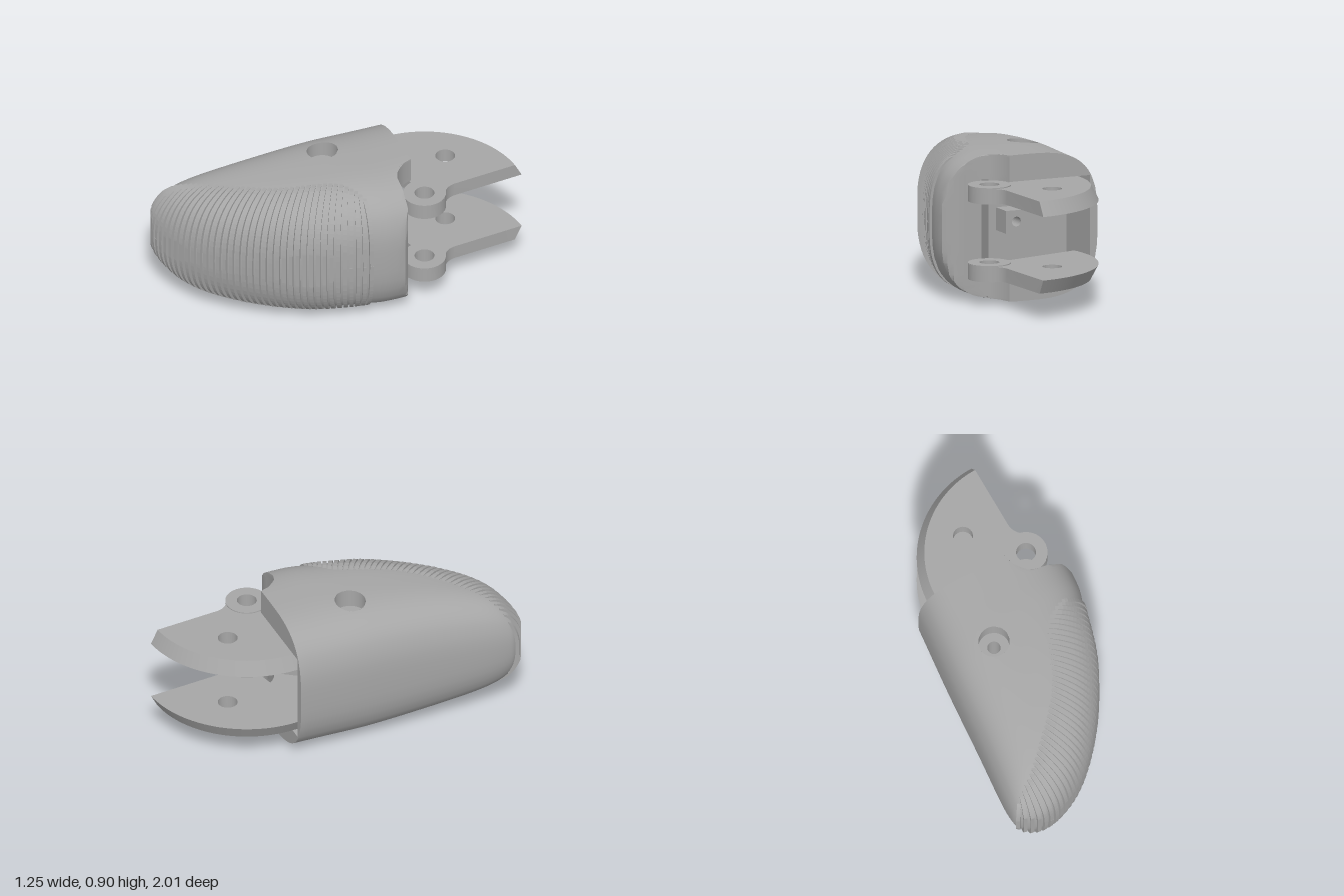
import * as THREE from 'three';
import { toCreasedNormals } from 'three/addons/utils/BufferGeometryUtils.js';

const MID = 0.45;          // height of the symmetry plane
const TIP = 1.07, BACK = -0.414;
const CAVITY = 0.287;      // half height of the rear opening
const HOLE = { t: -0.083, s: 0.041, r: 0.095, inner: 0.04 };

// Smooth interpolation through [x, y] pairs
function smooth(tab, x) {
  let i = 0;
  while (i < tab.length - 2 && x > tab[i + 1][0]) i++;
  const slope = (k) => {
    const a = tab[Math.max(0, k - 1)], b = tab[Math.min(tab.length - 1, k + 1)];
    return (b[1] - a[1]) / (b[0] - a[0]);
  };
  const [x0, y0] = tab[i], [x1, y1] = tab[i + 1], h = x1 - x0;
  const q = (x - x0) / h, q2 = q * q, q3 = q2 * q;
  return (2 * q3 - 3 * q2 + 1) * y0 + (q3 - 2 * q2 + q) * h * slope(i)
    + (3 * q2 - 2 * q3) * y1 + (q3 - q2) * h * slope(i + 1);
}

// Body profiles against p = sqrt(distance from the tip)
const RIGHT = [[0, -0.25], [0.12, -0.16], [0.33, 0.02], [0.524, 0.185], [0.7, 0.335], [0.877, 0.47], [1.034, 0.545], [1.1, 0.58], [1.22, 0.585]];
const LEFT = [[0, -0.25], [0.12, -0.325], [0.265, -0.392], [0.33, -0.408], [0.5, -0.414], [0.78, -0.4], [1.03, -0.388], [1.22, -0.37]];
const HEIGHT = [[0, 0], [0.1, 0.12], [0.17, 0.17], [0.265, 0.23], [0.33, 0.27], [0.41, 0.31], [0.52, 0.348], [0.7, 0.395], [0.877, 0.43], [1, 0.445], [1.08, 0.45], [1.15, 0.45], [1.22, 0.45]];
// Hinge notch: station s and the widest t allowed there
const NOTCH = [[-0.19, 0.585], [-0.226, 0.58], [-0.25, 0.555], [-0.268, 0.52], [-0.273, 0.45], [-0.275, 0.34], [-0.29, 0.3], [-0.315, 0.272], [-0.36, 0.235], [BACK, 0.217]];

function section(s) {
  const p = Math.sqrt(Math.max(0, TIP - s));
  const l = smooth(LEFT, p), r = smooth(RIGHT, p);
  return { c: (l + r) / 2, w: (r - l) / 2, h: smooth(HEIGHT, p), n: 2.1 + Math.min(1, p) };
}
const other = (v, n) => Math.pow(Math.max(0, 1 - Math.pow(Math.abs(v), n)), 1 / n);
function topHeight(t, s) {
  const { c, w, h, n } = section(s);
  return w > 1e-4 ? h * other(Math.min(1, Math.abs(t - c) / w), n) : 0;
}

// Closed cross-section: right side, top, left side, bottom
const SIDE = 8, TOP = 40, RING = 2 * (SIDE + TOP);
function ring(s, cut) {
  const { c, w, h, n } = section(s), v0 = CAVITY / 0.45, u0 = other(v0, n), pts = [];
  const add = (u, v) => pts.push([Math.min(c + w * u, cut), h * v]);
  for (const k of [1, -1]) {
    for (let j = 0; j < SIDE; j++) {
      const v = v0 * (2 * j / SIDE - 1);
      add(k * other(v, n), k * v);
    }
    for (let j = 0; j < TOP; j++) {
      const u = u0 * (1 - 2 * j / TOP);
      add(k * u, k * other(u, n));
    }
  }
  return pts;
}

function bodyShell() {
  const stations = [], N = 72, pEnd = Math.sqrt(TIP + 0.17);
  for (let i = 0; i <= N; i++) stations.push([TIP - (pEnd * i / N) ** 2, 9]);
  stations.push(...NOTCH);
  const pos = [], idx = [], inHole = [];
  for (const [s0, cut] of stations) {
    for (let [t, y] of ring(s0, cut)) {
      // Vertices inside the pin hole move out to its rim
      let s = s0;
      const dt = t - HOLE.t, ds = s - HOLE.s, d = Math.hypot(dt, ds);
      const inside = d < HOLE.r && Math.abs(y) > 0.3;
      if (inside) {
        t = HOLE.t + dt / d * HOLE.r;
        s = HOLE.s + ds / d * HOLE.r;
        y = Math.sign(y) * topHeight(t, s);
      }
      inHole.push(inside);
      pos.push(t, y, s);
    }
  }
  for (let i = 0; i < stations.length - 1; i++) {
    for (let j = 0; j < RING; j++) {
      if (j < SIDE && stations[i][0] <= -0.2745) continue; // open side of the cavity
      const k = (j + 1) % RING;
      const a = i * RING + j, b = a + RING, c = (i + 1) * RING + k, d = i * RING + k;
      if ([a, b, c, d].every((v) => inHole[v])) continue;
      idx.push(a, b, c, a, c, d);
    }
  }
  const g = new THREE.BufferGeometry();
  g.setAttribute('position', new THREE.Float32BufferAttribute(pos, 3));
  g.setIndex(idx);
  return toCreasedNormals(g, 0.6);
}

const vec = (list) => list.map(([a, b]) => new THREE.Vector2(a, b));
const circlePath = (x, y, r) => new THREE.Path().absarc(x, y, r, 0, Math.PI * 2, true);

export function createModel() {
  const model = new THREE.Group();
  const grey = new THREE.MeshStandardMaterial({ color: 0xa6a6a6, side: THREE.DoubleSide });
  grey.name = 'plain grey';
  const add = (parent, name, geo) => {
    const m = new THREE.Mesh(geo, grey);
    m.name = name;
    parent.add(m);
    return m;
  };

  // Fingertip body in its own frame: x across, z towards the tip
  const body = new THREE.Group();
  body.name = 'fingertip';
  body.rotation.y = -0.243;
  body.position.y = MID;
  model.add(body);
  add(body, 'shell', bodyShell());

  // Rear face around the opening
  const rim = ring(BACK, 0.217).slice(SIDE);
  rim.push([0.217, -CAVITY], [-0.32, -CAVITY], [-0.32, CAVITY], [0.217, CAVITY]);
  add(body, 'rearRim', new THREE.ShapeGeometry(new THREE.Shape(vec(rim)))).position.z = BACK;

  // Cavity lining: floor, ceiling and three walls
  const plan = [[-0.32, BACK], [-0.32, -0.08], [0.2, -0.08], [0.34, -0.275], ...NOTCH.slice(6).map(([s, t]) => [t, s])];
  const floor = new THREE.ShapeGeometry(new THREE.Shape(vec(plan.map(([t, s]) => [t, -s])))).rotateX(-Math.PI / 2);
  for (const k of [-1, 1]) add(body, k < 0 ? 'cavityFloor' : 'cavityCeiling', floor).position.y = k * CAVITY;
  for (let i = 0; i < 3; i++) {
    const [a, b] = plan[i], [c, d] = plan[i + 1];
    const wall = add(body, 'cavityWall', new THREE.PlaneGeometry(Math.hypot(c - a, d - b), 2 * CAVITY));
    wall.position.set((a + c) / 2, 0, (b + d) / 2);
    wall.rotation.y = Math.atan2(b - d, c - a);
  }
  // Small drilled block inside the cavity
  const block = new THREE.Shape(vec([[-0.07, -0.07], [0.07, -0.07], [0.07, 0.07], [-0.07, 0.07]]));
  block.holes.push(circlePath(0, 0, 0.03));
  add(body, 'innerBlock', new THREE.ExtrudeGeometry(block, { depth: 0.14, bevelEnabled: false })).position.set(0.08, 0, -0.22);

  // Counterbored pin hole, both sides, with a through bore
  for (const k of [-1, 1]) {
    const g = new THREE.CylinderGeometry(HOLE.r, HOLE.r, 1, 40, 1, true);
    const p = g.attributes.position;
    for (let i = 0; i < p.count; i++) {
      const top = topHeight(HOLE.t + p.getX(i), HOLE.s + p.getZ(i));
      p.setY(i, k * (p.getY(i) > 0 ? top : 0.33));
    }
    add(body, 'counterbore', g).position.set(HOLE.t, 0, HOLE.s);
    const step = new THREE.RingGeometry(HOLE.inner, HOLE.r, 40).rotateX(-k * Math.PI / 2);
    add(body, 'counterboreStep', step).position.set(HOLE.t, k * 0.33, HOLE.s);
  }
  add(body, 'pinBore', new THREE.CylinderGeometry(HOLE.inner, HOLE.inner, 0.66, 24, 1, true)).position.set(HOLE.t, 0, HOLE.s);

  // Grip ribs: upright slices fanned along the pad
  const inner = new THREE.SplineCurve(vec([[0.405, -0.028], [0.32, 0.02], [0.235, 0.117], [0.145, 0.376], [0.035, 0.557], [-0.206, 0.833], [-0.36, 0.965]]));
  const outer = new THREE.SplineCurve(vec([[0.552, -0.013], [0.47, 0.293], [0.335, 0.58], [0.185, 0.795], [0.02, 0.96], [-0.16, 1.056], [-0.27, 1.064], [-0.385, 1.005]]));
  const RIBS = 40, STEPS = 16;
  for (let i = 0; i < RIBS; i++) {
    const a = inner.getPointAt(i / (RIBS - 1)), b = outer.getPointAt(i / (RIBS - 1));
    const len = a.distanceTo(b), upper = [];
    for (let j = 0; j <= STEPS; j++) {
      const f = 1 - (1 - j / STEPS) ** 2;
      const y = topHeight(a.x + (b.x - a.x) * f, a.y + (b.y - a.y) * f);
      upper.push([f * (len + 0.018), y * (1 + 0.03 * Math.min(1, 5 * f))]);
    }
    upper[STEPS][1] = Math.min(upper[STEPS][1], upper[STEPS - 1][1]);
    const lower = upper.map(([r, y]) => [r, -y - 1e-4]).reverse();
    const g = new THREE.ExtrudeGeometry(new THREE.Shape(vec([...upper, ...lower])), { depth: 0.024, bevelEnabled: false });
    const rib = add(body, 'gripRib', g.translate(0, 0, -0.012));
    rib.position.set(a.x, 0, a.y);
    rib.rotation.y = Math.atan2(a.y - b.y, b.x - a.x);
  }

  // Two hinge plates: quarter discs about the pivot, chamfered on the outer rim
  const PX = 0.46, PZ = 0.34, R = 0.66, THICK = 0.088;
  const plate = new THREE.Shape();
  plate.absarc(PX, PZ, R, 1.403, Math.PI, false);
  plate.absarc(PX, PZ, 0.13, Math.PI, 2 * Math.PI + 0.75, false);
  plate.quadraticCurveTo(0.485, 0.465, 0.49, 0.54);
  plate.closePath();
  plate.holes.push(circlePath(PX, PZ, 0.06), circlePath(0.235, 0.665, 0.06));
  const bossShape = new THREE.Shape().absarc(PX, PZ, 0.13, 0, Math.PI * 2, false);
  bossShape.holes.push(circlePath(PX, PZ, 0.06));
  for (const k of [-1, 1]) {
    const g = new THREE.ExtrudeGeometry(plate, { depth: THICK, bevelEnabled: false, curveSegments: 32 });
    const p = g.attributes.position;
    for (let i = 0; i < p.count; i++) {
      const dx = p.getX(i) - PX, dy = p.getY(i) - PZ;
      const outerFace = (p.getZ(i) > THICK / 2) === (k > 0);
      if (outerFace && Math.hypot(dx, dy) > R - 0.005) p.setXY(i, PX + dx * 0.93, PZ + dy * 0.93);
    }
    g.rotateX(-Math.PI / 2);
    const name = k > 0 ? 'upperHingePlate' : 'lowerHingePlate';
    const y = MID + (k > 0 ? 0.195 : -0.195 - THICK);
    add(model, name, toCreasedNormals(g, 0.5)).position.y = y;
    const boss = new THREE.ExtrudeGeometry(bossShape, { depth: THICK + 0.012, bevelEnabled: false, curveSegments: 32 });
    add(model, 'hingeBoss', toCreasedNormals(boss.rotateX(-Math.PI / 2), 0.5)).position.y = y - 0.006;
  }
  return model;
}
